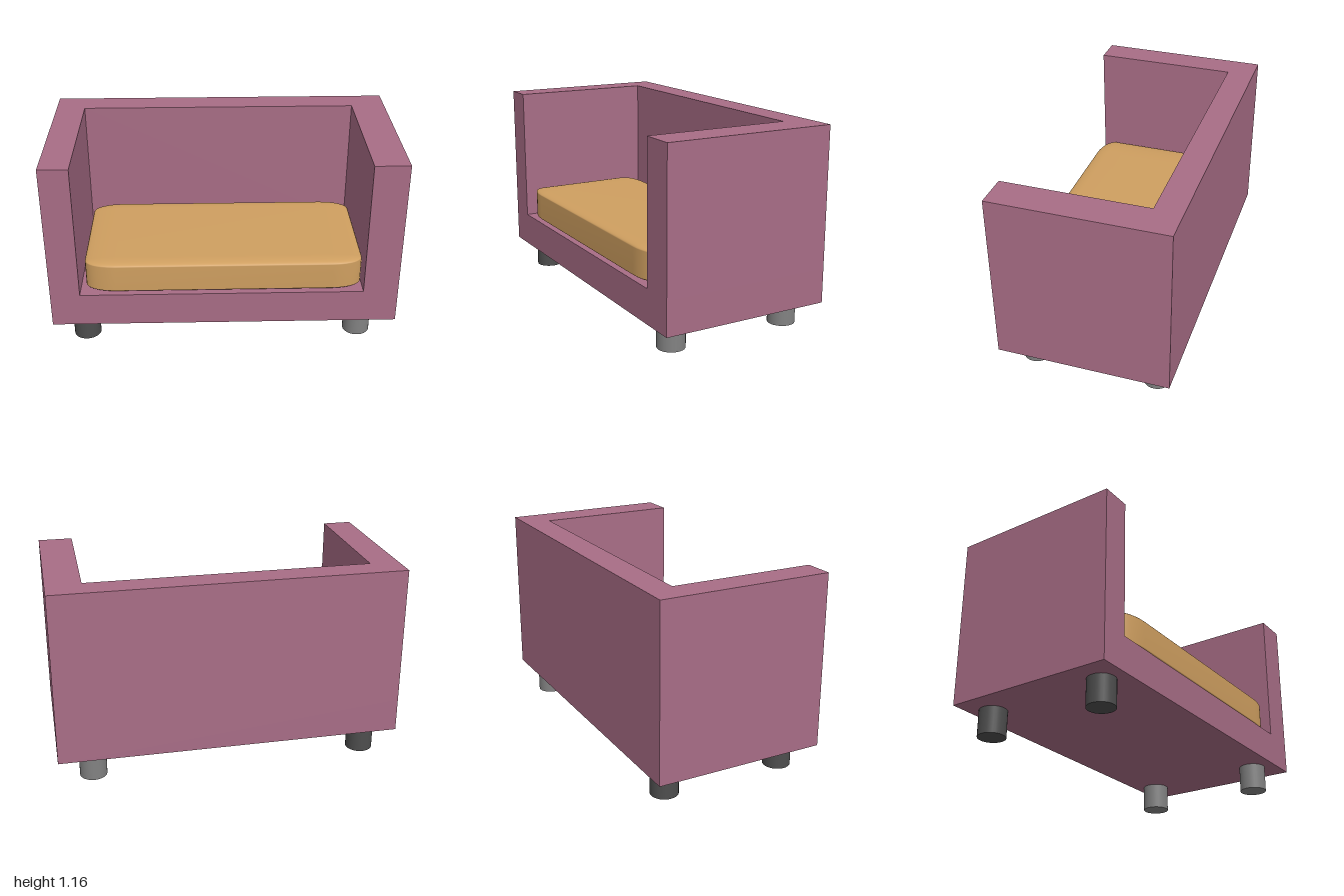
import * as THREE from 'three';
import { mergeVertices } from 'three/addons/utils/BufferGeometryUtils.js';
import { RoundedBoxGeometry } from 'three/addons/geometries/RoundedBoxGeometry.js';

function makeMaterial(name, color) {
  const material = new THREE.MeshStandardMaterial({ color });
  material.name = name;
  return material;
}

export function createModel() {
  const sofa = new THREE.Group();
  sofa.name = 'sofa';
  const upholstery = makeMaterial('mauve upholstery', 0xa86d86);
  const fabric = makeMaterial('tan cushion', 0xcf9f60);
  const lightLeg = makeMaterial('grey leg', 0x828282);
  const darkLeg = makeMaterial('dark grey leg', 0x4e4e4e);

  const add = (name, geometry, material, x, y, z) => {
    const mesh = new THREE.Mesh(geometry, material);
    mesh.name = name;
    mesh.position.set(x, y, z);
    sofa.add(mesh);
  };

  // U-shaped backrest and arms, extruded upwards from the plan (shape y = -z)
  const bottom = 0.155, seat = 0.355, top = 1.157;
  const plan = new THREE.Shape([
    [-1, -0.5], [-0.83, -0.5], [-0.83, 0.34], [0.8, 0.34],
    [0.8, -0.5], [1, -0.5], [1, 0.5], [-1, 0.5],
  ].map(([x, y]) => new THREE.Vector2(x, y)));
  const walls = new THREE.ExtrudeGeometry(plan, { depth: top - seat, bevelEnabled: false });
  walls.rotateX(-Math.PI / 2);
  add('backAndArms', walls, upholstery, 0, seat, 0);

  // Solid base under the seat
  add('base', new THREE.BoxGeometry(2, seat - bottom, 1), upholstery, 0, (seat + bottom) / 2, 0);

  // Soft cushion: a rounded cube stretched to size, with normals smoothed all over
  const soft = new RoundedBoxGeometry(1, 1, 1, 4, 0.11);
  soft.deleteAttribute('normal');
  soft.deleteAttribute('uv');
  soft.clearGroups();
  const cushion = mergeVertices(soft, 1e-4);
  cushion.scale(1.59, 0.194, 0.746);
  cushion.computeVertexNormals();
  add('seatCushion', cushion, fabric, -0.003, 0.453, 0.113);

  // Four round legs, darker on the right-hand side of the model
  const leg = new THREE.CylinderGeometry(0.079, 0.079, bottom, 32);
  for (const [side, x, material] of [['left', 0.798, lightLeg], ['right', -0.82, darkLeg]]) {
    for (const [end, z] of [['Front', 0.354], ['Back', -0.375]]) {
      add(side + end + 'Leg', leg, material, x, bottom / 2, z);
    }
  }
  return sofa;
}
